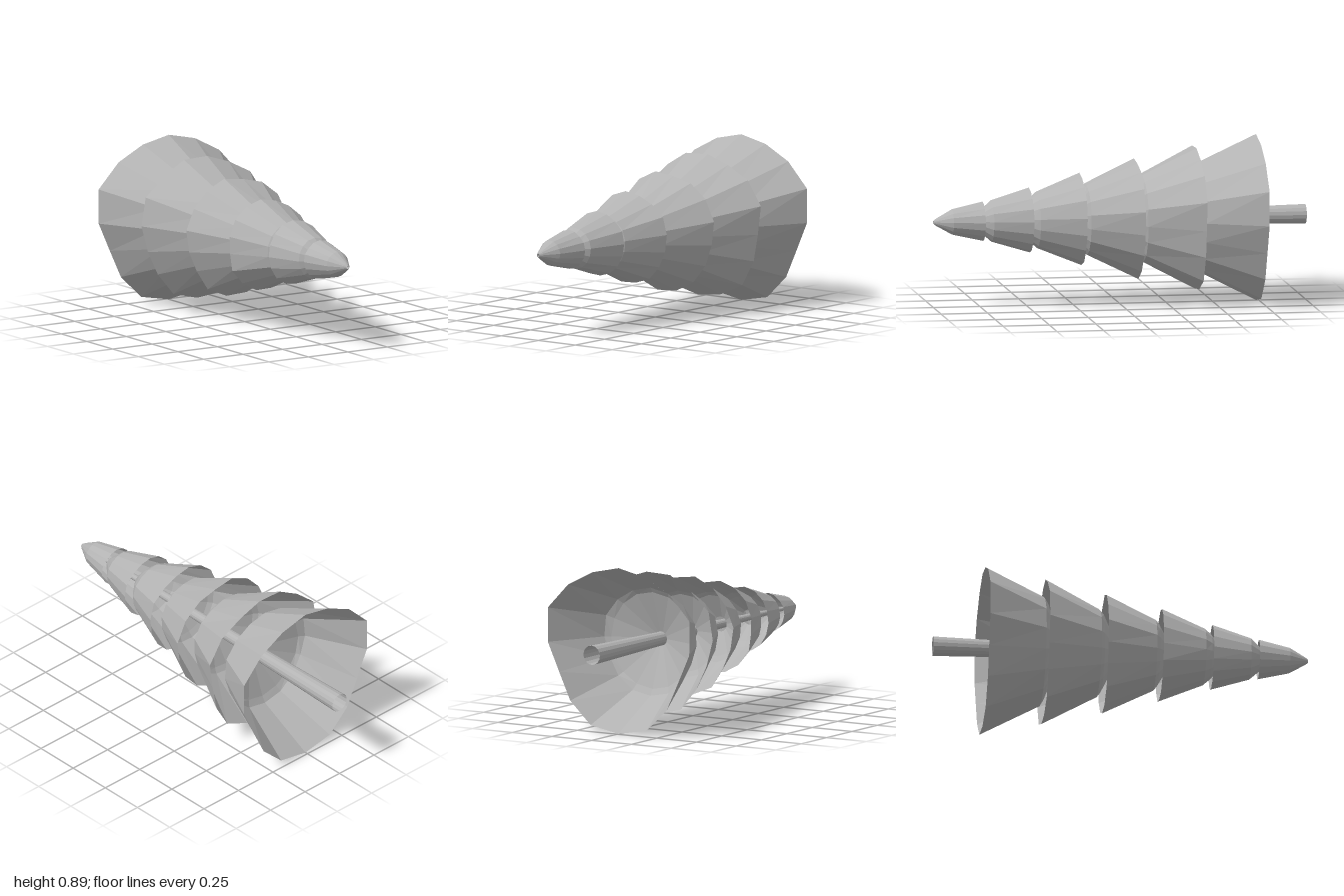
import * as THREE from 'three';

const SIDES = 16;
const AXIS_Y = 0.457;

// Lofted, open-ended shell along z. Each ring: { z, radii[SIDES] }, front to back.
function loft(rings, turn) {
  const pos = [], index = [];
  for (const { z, radii } of rings) {
    for (let k = 0; k < SIDES; k++) {
      const a = (k / SIDES) * Math.PI * 2 + turn;
      pos.push(radii[k] * Math.sin(a), AXIS_Y + radii[k] * Math.cos(a), z);
    }
  }
  for (let i = 0; i < rings.length - 1; i++) {
    for (let k = 0; k < SIDES; k++) {
      const n = (k + 1) % SIDES;
      const a = i * SIDES + k, b = i * SIDES + n;
      const c = a + SIDES, d = b + SIDES;
      index.push(a, b, c, b, d, c);
    }
  }
  const g = new THREE.BufferGeometry();
  g.setAttribute('position', new THREE.Float32BufferAttribute(pos, 3));
  g.setIndex(index);
  g.computeVertexNormals();
  return g;
}

const even = (r) => new Array(SIDES).fill(r);

// Tiers from the tip to the widest skirt: profile [z, radius] of the inner rings,
// then the uneven rim (radii clockwise from the top) and its turn in degrees.
const TIERS = [
  { profile: [[1, 0.009], [0.985, 0.02], [0.9, 0.068]], rimZ: 0.735, turn: -2,
    rim: [.105, .103, .102, .107, .108, .106, .104, .106, .105, .106, .105, .104, .105, .106, .102, .104] },
  { profile: [[0.78, 0.03], [0.73, 0.075], [0.69, 0.11]], rimZ: 0.485, turn: -4,
    rim: [.173, .17, .171, .178, .174, .17, .17, .172, .172, .176, .174, .168, .165, .165, .168, .172] },
  { profile: [[0.55, 0.04], [0.48, 0.12], [0.445, 0.15]], rimZ: 0.21, turn: -8,
    rim: [.245, .234, .237, .253, .247, .24, .24, .248, .245, .254, .25, .25, .232, .24, .246, .247] },
  { profile: [[0.27, 0.04], [0.2, 0.165], [0.18, 0.19]], rimZ: -0.09, turn: -12.8,
    rim: [.316, .298, .315, .329, .335, .315, .316, .322, .327, .331, .329, .3, .3, .316, .31, .313] },
  { profile: [[-0.02, 0.04], [-0.1, 0.21], [-0.12, 0.235]], rimZ: -0.41, turn: 4.7,
    rim: [.37, .365, .397, .41, .371, .384, .408, .393, .393, .4, .37, .363, .387, .404, .377, .381] },
  { profile: [[-0.32, 0.04], [-0.4, 0.26], [-0.42, 0.29]], rimZ: -0.735, turn: 0,
    rim: [.433, .43, .45, .482, .445, .405, .43, .46, .457, .46, .43, .405, .445, .482, .45, .43] },
];

export function createModel() {
  const model = new THREE.Group();
  model.name = 'lyingPineTree';
  const grey = new THREE.MeshStandardMaterial({ color: 0xb3b3b3, flatShading: true, side: THREE.DoubleSide });
  grey.name = 'plain grey';

  // Hollow skirts of branches
  TIERS.forEach(({ profile, rimZ, rim, turn }, i) => {
    const mean = rim.reduce((s, r) => s + r, 0) / SIDES;
    const rings = profile.map(([z, r], j) => ({
      z,
      // the shoulder ring follows the uneven rim a little
      radii: j === 2 ? rim.map((v) => r * (1 + 0.5 * (v / mean - 1))) : even(r),
    }));
    rings.push({ z: rimZ, radii: rim });
    const tier = new THREE.Mesh(loft(rings, THREE.MathUtils.degToRad(turn)), grey);
    tier.name = `branchTier${i + 1}`;
    model.add(tier);
  });

  // Tapered, open trunk running through every tier
  const trunk = new THREE.Mesh(loft([
    { z: 1, radii: even(0.008) },
    { z: -1, radii: even(0.052) },
  ], 0), grey);
  trunk.name = 'trunk';
  model.add(trunk);

  return model;
}
